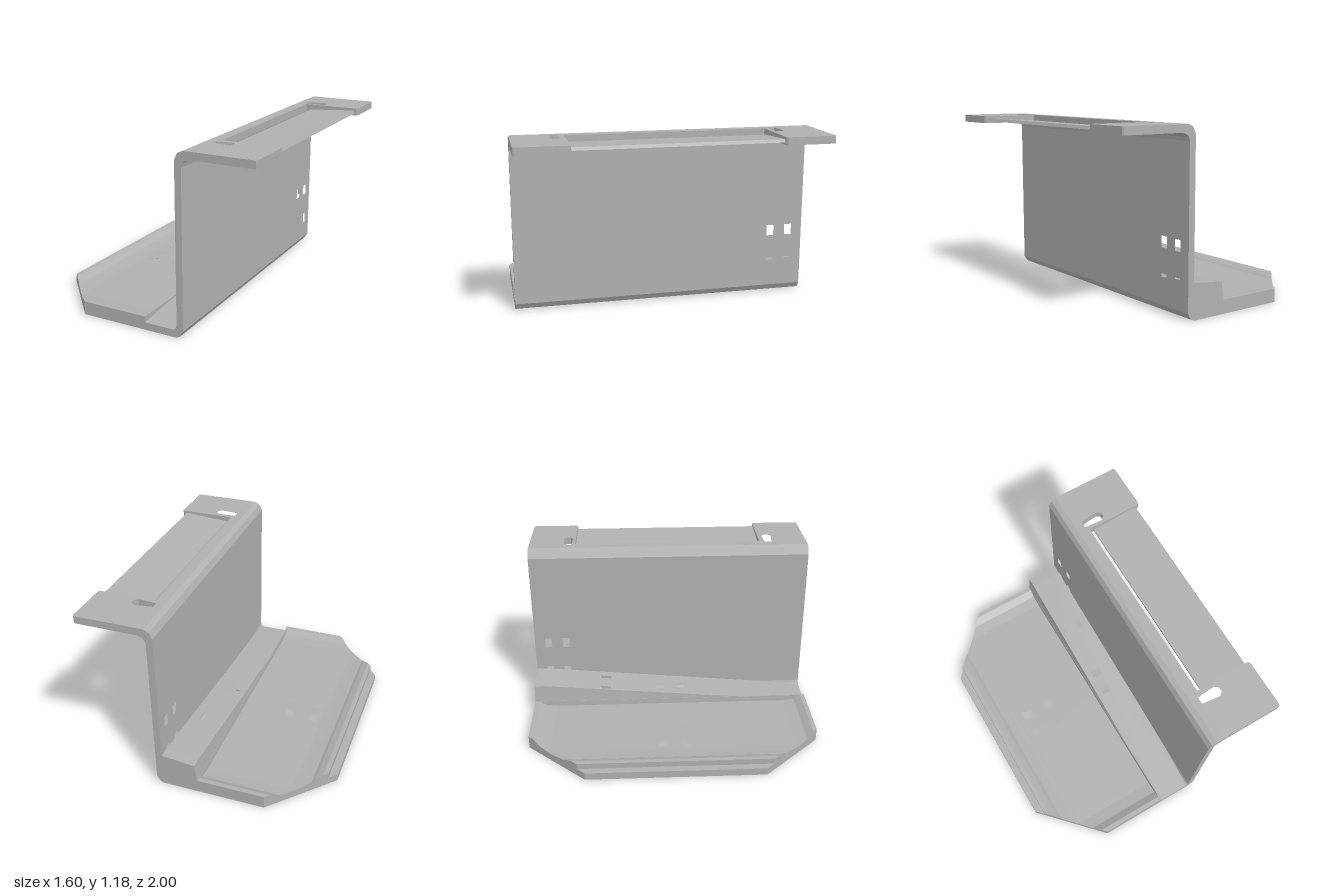
import * as THREE from 'three';

const metal = new THREE.MeshStandardMaterial({ color: 0xb0b0b0 });
metal.name = 'grey metal';

const v2 = (pts) => pts.map(([a, b]) => new THREE.Vector2(a, b));
const rect = (a0, b0, a1, b1) => [[a0, b0], [a1, b0], [a1, b1], [a0, b1]];

function extrude(outline, holes, depth) {
  const shape = new THREE.Shape(v2(outline));
  holes.forEach((h) => shape.holes.push(new THREE.Path(v2(h))));
  return new THREE.ExtrudeGeometry(shape, { depth, bevelEnabled: false });
}

// Plan outline given as [x, z], raised from y0 to y1
function plan(outline, holes, y0, y1) {
  const flip = (pts) => pts.map(([x, z]) => [x, -z]);
  return extrude(flip(outline), holes.map(flip), y1 - y0).rotateX(-Math.PI / 2).translate(0, y0, 0);
}

// Front profile given as [x, y], run from z0 to z1
const alongZ = (profile, z0 = -1, z1 = 1) => extrude(profile, [], z1 - z0).translate(0, 0, z0);

// Side profile given as [z, y], run from x0 to x1
function alongX(profile, holes, x0, x1) {
  const flip = (pts) => pts.map(([z, y]) => [-z, y]);
  return extrude(flip(profile), holes.map(flip), x1 - x0).rotateY(Math.PI / 2).translate(x0, 0, 0);
}

// Move every vertex by a rule
function reshape(geometry, rule) {
  const p = geometry.attributes.position;
  const v = new THREE.Vector3();
  for (let i = 0; i < p.count; i++) {
    v.fromBufferAttribute(p, i);
    rule(v);
    p.setXYZ(i, v.x, v.y, v.z);
  }
  geometry.computeVertexNormals();
  return geometry;
}

export function createModel() {
  const group = new THREE.Group();
  const add = (name, geometry) => {
    const mesh = new THREE.Mesh(geometry, metal);
    mesh.name = name;
    group.add(mesh);
  };

  // Base plate with chamfered corners and slots
  const stepHoles = [
    [[0.055, -0.52], [0.09, -0.52], [0.08, -0.44], [0.055, -0.44]],
    rect(0.19, -0.52, 0.22, -0.44),
    rect(0.08, -0.1, 0.155, -0.05),
    rect(0.08, 0.05, 0.155, 0.1),
  ];
  const baseHoles = [
    [[-0.52, -0.11], [-0.45, -0.1], [-0.45, -0.035], [-0.53, -0.035]],
    [[-0.53, 0.05], [-0.45, 0.05], [-0.48, 0.12], [-0.53, 0.12]],
    [[-0.34, -0.11], [-0.27, -0.09], [-0.27, -0.035], [-0.34, -0.035]],
    [[-0.34, 0.05], [-0.27, 0.05], [-0.27, 0.1], [-0.34, 0.1]],
  ];
  add('basePlate', plan(
    [[-0.8, -0.6], [-0.42, -1], [0.25, -1], [0.25, 1], [-0.42, 1], [-0.8, 0.6]],
    [...baseHoles, ...stepHoles], 0, 0.05));

  // Ridge on the outer edge, its ends following the chamfers
  add('edgeRidge', reshape(
    alongZ([[-0.75, 0.05], [-0.55, 0.05], [-0.6, 0.054], [-0.66, 0.062], [-0.68, 0.075], [-0.72, 0.09], [-0.75, 0.09]]),
    (v) => { v.z = Math.sign(v.z) * (0.6 + (v.x + 0.8) / 0.95); }));

  // Raised rims at both ends of the tray, cut by the chamfers
  for (const s of [1, -1]) {
    add('endRim', reshape(
      alongX([[s * 0.84, 0.05], [s, 0.05], [s, 0.09], [s * 0.97, 0.09], [s * 0.945, 0.075], [s * 0.92, 0.06]], [], -0.42, 0.04),
      (v) => { if (v.x < 0) v.x = -0.8 + (Math.abs(v.z) - 0.6) * 0.95; }));
  }
  add('trayRib', alongZ([[0.03, 0.05], [0.045, 0.05], [0.045, 0.09], [0.033, 0.09]]));

  // Wedge beside the wall, falling from the back end to the front end
  const ramp = (v) => {
    if (v.y < 0.06) return;
    const t = Math.min(1, (1 - v.z) / 1.93);
    v.y = 0.05 + t * (0.16 + 0.09 * (v.x - 0.03));
    if (v.x < 0.04) v.x += 0.02 * t;
  };
  add('wedgeEnd', reshape(plan(rect(0.03, -1, 0.278, -0.93), [], 0.05, 0.2), ramp));
  add('wedge', reshape(plan(rect(0.03, -0.93, 0.278, 1), stepHoles, 0.05, 0.2), ramp));

  // Upright wall with four square holes
  const wallHoles = [];
  for (const z of [-0.9, -0.77]) {
    for (const y of [0.213, 0.45]) wallHoles.push(rect(z - 0.025, y - 0.037, z + 0.025, y + 0.037));
  }
  add('wall', alongX(rect(-1, 0.08, 1, 1.08), wallHoles, 0.275, 0.32));

  // Rounded bends
  add('lowerBend', alongZ([[0.25, 0], [0.27, 0], [0.295, 0.01], [0.32, 0.05], [0.32, 0.08],
    [0.275, 0.08], [0.268, 0.06], [0.25, 0.05]]));
  add('upperBend', alongZ([[0.275, 1.08], [0.32, 1.08], [0.327, 1.105], [0.345, 1.12], [0.38, 1.13],
    [0.38, 1.18], [0.33, 1.18], [0.295, 1.163], [0.275, 1.12]]));

  // Top flange: two slotted ears joined by a strip
  const slot = (s) => [[0.385, 0.7], [0.42, 0.695], [0.51, 0.69], [0.535, 0.71], [0.535, 0.74],
    [0.51, 0.76], [0.42, 0.75], [0.385, 0.745]].map(([x, z]) => [x, s * z]);
  add('topFlange', plan(
    [[0.38, -1], [0.79, -1], [0.797, -0.99], [0.797, -0.68], [0.785, -0.67], [0.405, -0.67],
      [0.405, 0.66], [0.785, 0.66], [0.797, 0.67], [0.797, 0.99], [0.79, 1], [0.38, 1]],
    [slot(1), slot(-1)], 1.13, 1.18));

  // Thin recessed panel between the ears, with a gap beside the strip
  add('recessedPanel', alongZ([[0.438, 1.13], [0.775, 1.145], [0.765, 1.165], [0.438, 1.143]], -0.67, 0.66));

  return group;
}
